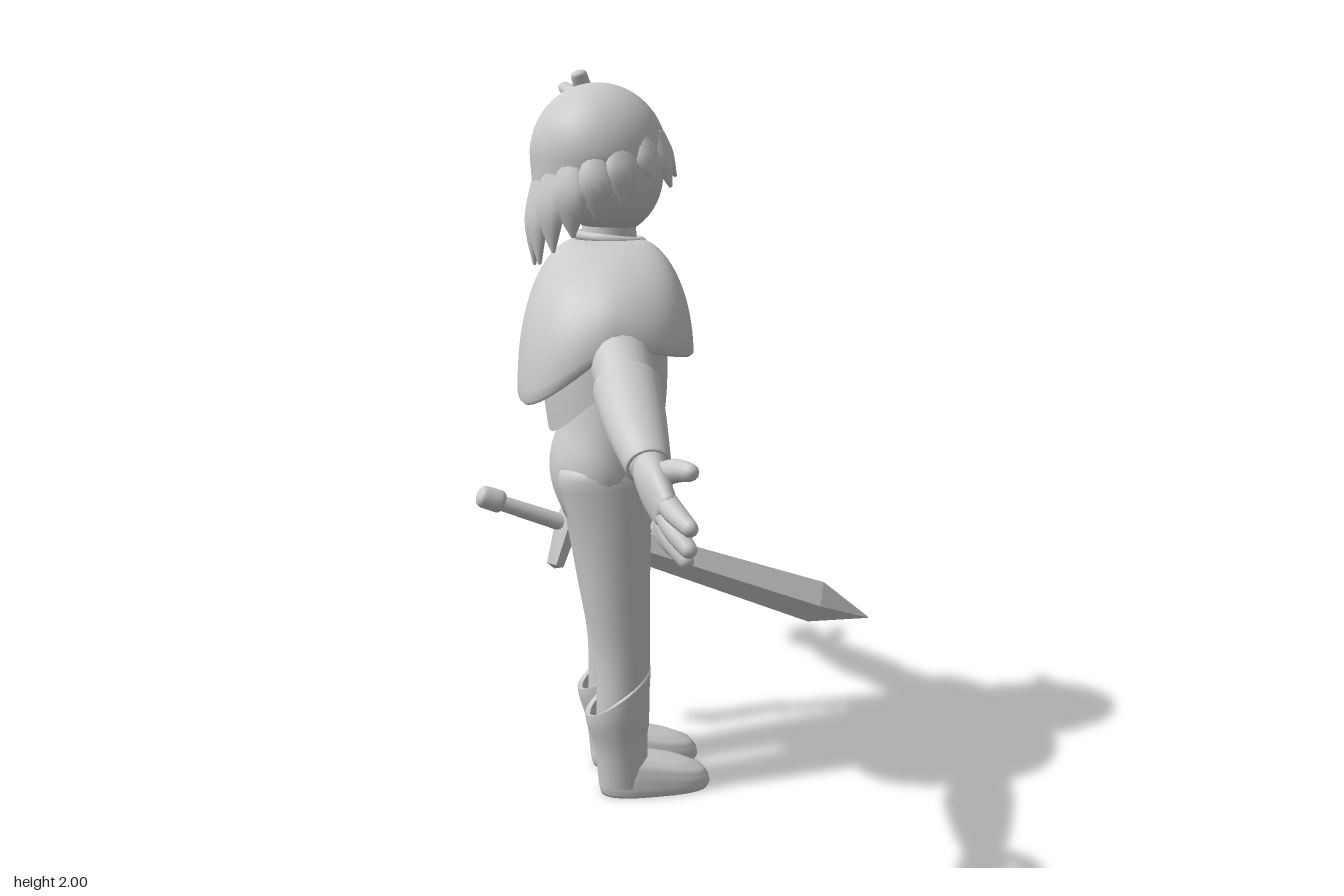
import * as THREE from 'three';
import { mergeVertices } from 'three/addons/utils/BufferGeometryUtils.js';

const clay = new THREE.MeshStandardMaterial({ color: 0xcccccc, side: THREE.DoubleSide });
clay.name = 'light grey';

const V = (x, y, z) => new THREE.Vector3(x, y, z);
const lerp = THREE.MathUtils.lerp;
const spow = (v, p) => Math.sign(v) * Math.abs(v) ** p;

// Grid surface from f(u, v) -> Vector3; smooth unless flat
function surface(f, nu, nv, flat = false) {
  const pos = [], idx = [];
  for (let j = 0; j <= nv; j++)
    for (let i = 0; i <= nu; i++) pos.push(...f(i / nu, j / nv).toArray());
  for (let j = 0; j < nv; j++)
    for (let i = 0; i < nu; i++) {
      const a = j * (nu + 1) + i, b = a + nu + 1;
      idx.push(a, b, a + 1, a + 1, b, b + 1);
    }
  let g = new THREE.BufferGeometry();
  g.setAttribute('position', new THREE.Float32BufferAttribute(pos, 3));
  g.setIndex(idx);
  g = flat ? g.toNonIndexed() : mergeVertices(g, 1e-5);
  g.computeVertexNormals();
  return g;
}

// Piecewise curve through rows of numbers
function sample(rows, t, smooth = true) {
  const n = rows.length - 1, s = Math.min(t * n, n - 1e-6), i = Math.floor(s), f = s - i;
  const at = k => rows[Math.max(0, Math.min(n, k))];
  return rows[0].map((_, c) => {
    const p0 = at(i - 1)[c], p1 = at(i)[c], p2 = at(i + 1)[c], p3 = at(i + 2)[c];
    if (!smooth) return lerp(p1, p2, f);
    return p1 + 0.5 * f * (p2 - p0 + f * (2 * p0 - 5 * p1 + 4 * p2 - p3 + f * (3 * (p1 - p2) + p3 - p0)));
  });
}

// Elliptic limb through rows [x, y, z, radius along ref, other radius], with rounded ends
function limb(rows, { ref = V(1, 0, 0), seg = 20, steps = 16, round = 0.6, flat = false } = {}) {
  const ring = t => {
    const s = sample(rows, t, !flat);
    const a0 = sample(rows, Math.max(0, t - 0.02), !flat), a1 = sample(rows, Math.min(1, t + 0.02), !flat);
    const T = V(a1[0] - a0[0], a1[1] - a0[1], a1[2] - a0[2]).normalize();
    const A = ref.clone().addScaledVector(T, -ref.dot(T)).normalize();
    return { c: V(s[0], s[1], s[2]), T, A, B: T.clone().cross(A), ra: s[3], rb: s[4] };
  };
  const rings = [], cap = flat ? 1 : 4;
  const end = (t, sign, k) => {
    const r = ring(t), w = k / cap * Math.PI / 2, h = Math.min(r.ra, r.rb) * round;
    r.c.addScaledVector(r.T, sign * h * Math.sin(w));
    r.ra *= Math.cos(w); r.rb *= Math.cos(w);
    return r;
  };
  for (let k = cap; k > 0; k--) rings.push(end(0, -1, k));
  for (let k = 0; k <= steps; k++) rings.push(ring(k / steps));
  for (let k = 1; k <= cap; k++) rings.push(end(1, 1, k));
  return surface((u, v) => {
    const r = rings[Math.round(v * (rings.length - 1))], q = u * Math.PI * 2;
    return r.c.clone().addScaledVector(r.A, r.ra * Math.cos(q)).addScaledVector(r.B, r.rb * Math.sin(q));
  }, seg, rings.length - 1, flat);
}

export function createModel() {
  const root = new THREE.Group();
  root.name = 'swordBearer';
  const add = (name, geo) => {
    const m = new THREE.Mesh(geo, clay);
    m.name = name;
    root.add(m);
    return m;
  };

  // Trunk and neck
  add('trunk', limb([[-0.285, 0.83, 0, 0.12, 0.17], [-0.288, 0.93, 0, 0.143, 0.2], [-0.27, 1.06, 0, 0.128, 0.195], [-0.26, 1.25, 0, 0.12, 0.19]], { seg: 32 }));
  add('neck', limb([[-0.26, 1.45, 0, 0.08, 0.08], [-0.255, 1.64, 0, 0.07, 0.075]]));
  const collar = add('collar', new THREE.TorusGeometry(0.085, 0.014, 10, 32));
  collar.rotation.set(Math.PI / 2, -0.12, 0);
  collar.position.set(-0.255, 1.555, 0);

  // Chest plate with pointed front and back hem
  const chest = [[0, 0.155, 0.235], [0.25, 0.168, 0.228], [0.55, 0.165, 0.215], [0.8, 0.14, 0.175], [1, 0.07, 0.08]];
  add('chestPlate', surface((u, v) => {
    const q = u * Math.PI * 2, [t, rx, rz] = sample(chest, v);
    const hem = 1.18 - 0.14 * Math.abs(Math.cos(q)) ** 1.3;
    return V(-0.275 + rx * spow(Math.cos(q), 0.9), lerp(hem, 1.54, t), rz * spow(Math.sin(q), 0.9));
  }, 48, 20));

  // Lopsided short cape over the left shoulder, with a turned-in hem
  add('shoulderCape', surface((u, v) => {
    const q = u * Math.PI * 2, c = spow(Math.cos(q), 0.72), s = spow(Math.sin(q), 0.72);
    const rim = 1.33 - (c > 0 ? 0.05 : -0.17) * -Math.abs(c) * (c > 0 ? -1 : 1) + (s < 0 ? 0.1 * s * s : 0);
    const k = Math.min(v / 0.88, 1), w = k * Math.PI / 2, fold = Math.max(0, (v - 0.88) / 0.12);
    const size = 1 - 0.1 * fold;
    return V(lerp(-0.26 + 0.08 * c, -0.295 + 0.225 * c * size, Math.sin(w)),
      lerp(1.555, rim, 1 - Math.cos(w)) + 0.01 * fold - 0.012 * Math.sin(fold * Math.PI),
      lerp(0.08 * s, 0.16 + 0.27 * s * size, Math.sin(w)));
  }, 56, 25));

  // Smaller right shoulder guard: rows of z, top, hem, half width
  const guard = [[-0.06, 1.55, 1.46, 0.12], [-0.18, 1.53, 1.435, 0.145], [-0.28, 1.475, 1.40, 0.14], [-0.35, 1.405, 1.385, 0.1]];
  add('shoulderGuard', surface((u, v) => {
    const [z, top, low, w] = sample(guard, v), a = (u - 0.5) * Math.PI;
    return V(-0.275 + w * Math.sin(a), lerp(low, top, Math.cos(a)), z);
  }, 24, 14));

  for (const s of [1, -1]) {
    const side = s > 0 ? 'left' : 'right';
    const mir = rows => rows.map(([x, y, z, a, b]) => [x, y, z * s, a, b]);

    // Leg
    add(side + 'Leg', limb(mir([[-0.285, 0.93, 0.098, 0.135, 0.1], [-0.272, 0.76, 0.102, 0.108, 0.094], [-0.26, 0.58, 0.104, 0.09, 0.086], [-0.247, 0.4, 0.1, 0.076, 0.08], [-0.25, 0.2, 0.1, 0.075, 0.075]]), { seg: 24 }));

    // Boot shaft with slanted top and thick lip
    const shaft = [[-0.25, 0.03, 0.07, 0.064], [-0.255, 0.14, 0.075, 0.072], [-0.263, 0.24, 0.088, 0.083], [-0.262, 0.305, 0.093, 0.084]];
    add(side + 'Boot', surface((u, v) => {
      const q = u * Math.PI * 2, t = Math.min(1, v / 0.9), [x, y, rx, rz] = sample(shaft, t);
      const k = v > 0.9 ? 0.85 : 1, c = Math.cos(q);
      return V(x + rx * k * c, y + 0.065 * t * t * c, s * (0.1 + rz * k * Math.sin(q)));
    }, 28, 20));

    // Shoe with a flat sole: rows of outline scale, height share
    const shoe = [[0, 0], [0.96, 0], [1, 0.2], [0.98, 0.5], [0.88, 0.82], [0.6, 1], [0, 1.04]];
    add(side + 'Shoe', surface((u, v) => {
      const q = u * Math.PI * 2, [k, h] = sample(shoe, v, false);
      const x = -0.16 + 0.16 * k * spow(Math.cos(q), 0.7);
      return V(x, h * lerp(0.135, 0.06, (x + 0.32) / 0.32), s * (0.095 + 0.07 * k * spow(Math.sin(q), 0.8)));
    }, 32, 18));

    // Arm and flared forearm cuff
    add(side + 'Arm', limb(mir([[-0.28, 1.43, 0.13, 0.1, 0.095], [-0.285, 1.345, 0.29, 0.09, 0.085], [-0.28, 1.24, 0.47, 0.072, 0.07], [-0.27, 1.1, 0.75, 0.046, 0.046]])));
    add(side + 'Cuff', limb(mir([[-0.28, 1.232, 0.485, 0.083, 0.08], [-0.278, 1.17, 0.61, 0.074, 0.068], [-0.27, 1.1, 0.75, 0.053, 0.051]]), { round: 0.1, seg: 28 }));

    // Hand, four fingers and thumb
    add(side + 'Palm', limb(mir([[-0.27, 1.1, 0.75, 0.04, 0.045], [-0.265, 1.065, 0.81, 0.036, 0.062], [-0.25, 1.02, 0.88, 0.028, 0.058]])));
    const fingers = [[1.055, 0.87, 1.015, 0.98], [1.025, 0.875, 0.965, 0.968], [0.998, 0.86, 0.93, 0.93], [0.98, 0.835, 0.928, 0.878]];
    fingers.forEach(([y0, z0, y1, z1], i) => add(side + 'Finger' + (i + 1),
      limb(mir([[-0.255, y0, z0, 0.025, 0.025], [-0.24, (y0 + y1) / 2, (z0 + z1) / 2, 0.025, 0.024], [-0.218, y1, z1, 0.019, 0.019]]), { seg: 12, steps: 8, round: 1 })));
    add(side + 'Thumb', limb(mir([[-0.26, 1.085, 0.79, 0.03, 0.03], [-0.225, 1.11, 0.845, 0.027, 0.027], [-0.205, 1.122, 0.915, 0.02, 0.02]]), { seg: 12, steps: 8, round: 1 }));
  }

  // Head
  const head = add('head', new THREE.SphereGeometry(1, 36, 24));
  head.scale.set(0.143, 0.165, 0.15);
  head.position.set(-0.253, 1.73, 0);

  // Hair shell: dome, then falling straight at the sides and back
  add('hairCap', surface((u, v) => {
    const q = u * Math.PI * 2, c = Math.cos(q), back = (1 - c) / 2;
    const dome = Math.min(1, v / 0.6), fall = Math.max(0, (v - 0.6) / 0.4);
    const drop = (-0.02 + 0.235 * back ** 1.3 + 0.012 * Math.cos(q * 12)) * fall;
    const r = Math.sin(dome * Math.PI / 2) * (1 - 0.07 * fall);
    return V(-0.282 + 0.182 * r * c, 1.775 + 0.187 * Math.cos(dome * Math.PI / 2) - drop, 0.188 * r * Math.sin(q));
  }, 72, 28));

  // Tapered hair locks: angle from front, root height, tip height, tip reach, half width
  const locks = [
    [-70, 1.8, 1.71, 1.12, 0.04], [-44, 1.83, 1.75, 1.22, 0.045], [-20, 1.83, 1.735, 1.1, 0.04], [4, 1.83, 1.72, 1.12, 0.045],
    [28, 1.83, 1.695, 1.1, 0.045], [52, 1.82, 1.71, 1.1, 0.04], [78, 1.8, 1.66, 1, 0.045], [-92, 1.78, 1.63, 0.95, 0.045],
    [100, 1.78, 1.62, 0.92, 0.045], [-115, 1.76, 1.58, 0.9, 0.05], [122, 1.76, 1.57, 0.9, 0.05], [-138, 1.74, 1.535, 0.92, 0.05],
    [143, 1.74, 1.53, 0.93, 0.05], [-160, 1.72, 1.5, 0.95, 0.05], [163, 1.72, 1.495, 0.96, 0.05], [180, 1.72, 1.49, 0.97, 0.05],
  ];
  locks.forEach(([deg, y0, y1, reach, w], i) => {
    const q = deg * Math.PI / 180, c = Math.cos(q), s = Math.sin(q);
    const at = (k, y, a, b) => [-0.282 + 0.182 * k * c, y, 0.188 * k * s, a, b];
    add('hairLock' + (i + 1), limb([at(0.88, y0, 0.016, w * 0.7), at(0.98, lerp(y0, y1, 0.5), 0.022, w), at(reach, y1, 0.005, 0.006)],
      { ref: V(c, 0, s), seg: 12, steps: 10 }));
  });

  // Loose tufts on the crown
  add('tuftUpper', limb([[-0.3, 1.92, -0.11, 0.026, 0.022], [-0.322, 1.985, -0.088, 0.022, 0.018]], { seg: 12, steps: 6 }));
  add('tuftOuter', limb([[-0.31, 1.92, -0.1, 0.026, 0.022], [-0.33, 1.935, -0.15, 0.026, 0.022], [-0.35, 1.955, -0.205, 0.018, 0.014]], { seg: 12, steps: 8 }));

  // Sword: four-sided blade, kite guard, grip and pommel
  const zRef = V(0, 0, 1);
  add('swordBlade', limb([[-0.36, 0.685, -0.285, 0.025, 0.04], [0.435, 0.367, -0.355, 0.042, 0.069], [0.615, 0.297, -0.373, 0.002, 0.002]],
    { ref: zRef, seg: 4, steps: 2, flat: true }));
  add('swordGuard', limb([[-0.4, 0.57, -0.252, 0.018, 0.026], [-0.36, 0.685, -0.282, 0.04, 0.036], [-0.315, 0.81, -0.305, 0.018, 0.026]],
    { ref: zRef, seg: 4, steps: 2, flat: true }));
  add('swordGrip', limb([[-0.6, 0.784, -0.262, 0.022, 0.022], [-0.36, 0.685, -0.284, 0.026, 0.026]], { ref: zRef }));
  add('swordPommel', limb([[-0.605, 0.788, -0.262, 0.033, 0.033], [-0.56, 0.77, -0.266, 0.034, 0.034]], { ref: zRef, steps: 4 }));

  return root;
}
